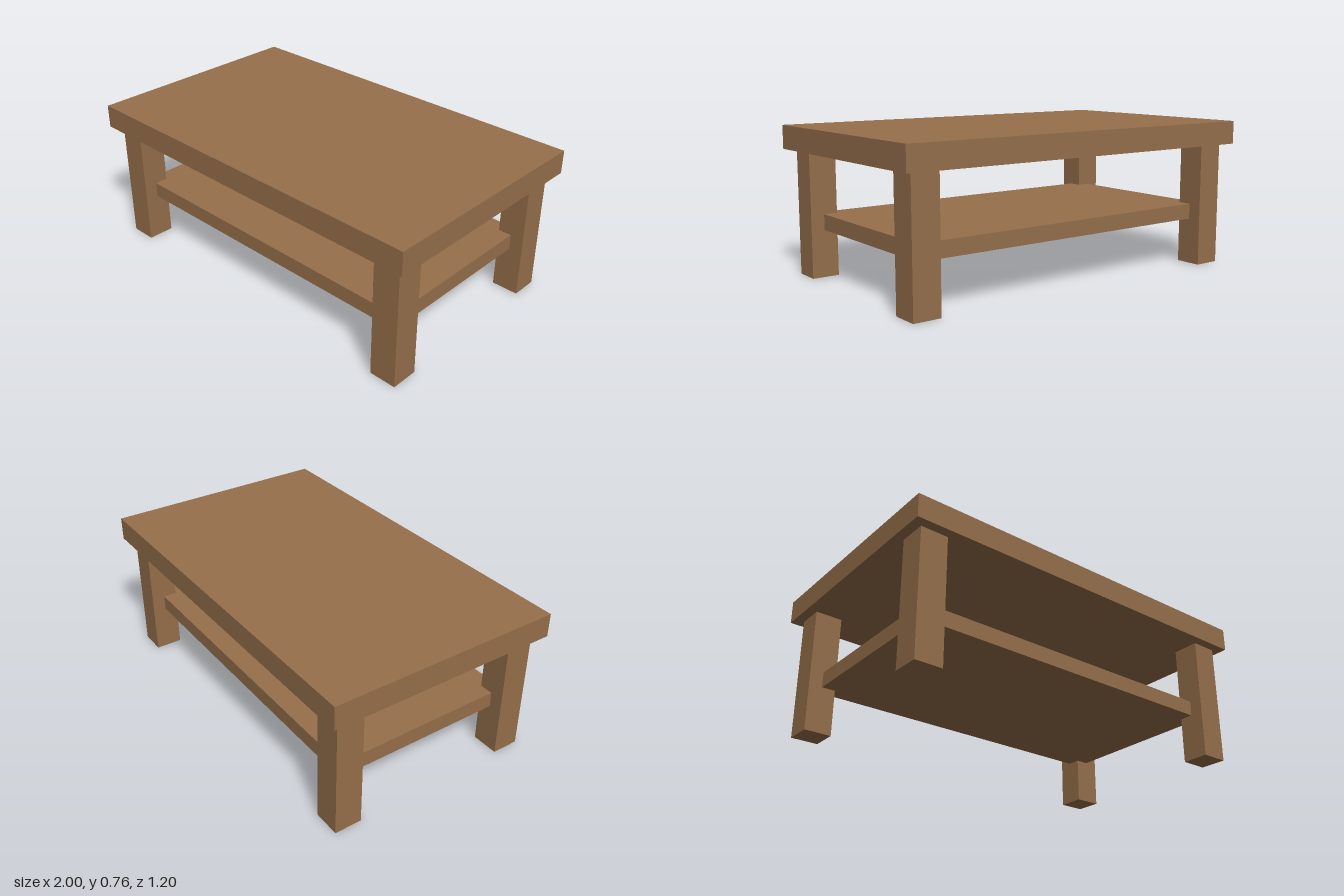
import * as THREE from 'three';

export function createModel() {
  const table = new THREE.Group();
  table.name = 'coffeeTable';

  const wood = new THREE.MeshStandardMaterial({ color: 0x966f4b });
  wood.name = 'brown wood';

  // Adds a box whose underside sits at the given height
  function addBox(name, width, height, depth, x, bottom, z) {
    const mesh = new THREE.Mesh(new THREE.BoxGeometry(width, height, depth), wood);
    mesh.name = name;
    mesh.position.set(x, bottom + height / 2, z);
    table.add(mesh);
  }

  addBox('tableTop', 2, 0.12, 1.2, 0, 0.64, 0);

  // Lower shelf, its corners let into the centres of the legs
  addBox('shelf', 1.76, 0.08, 0.96, 0, 0.24, 0);

  // Four square legs
  for (const [side, sx] of [['Left', 1], ['Right', -1]]) {
    for (const [end, sz] of [['front', 1], ['back', -1]]) {
      addBox(`${end}${side}Leg`, 0.14, 0.64, 0.14, sx * 0.88, 0, sz * 0.48);
    }
  }

  return table;
}
